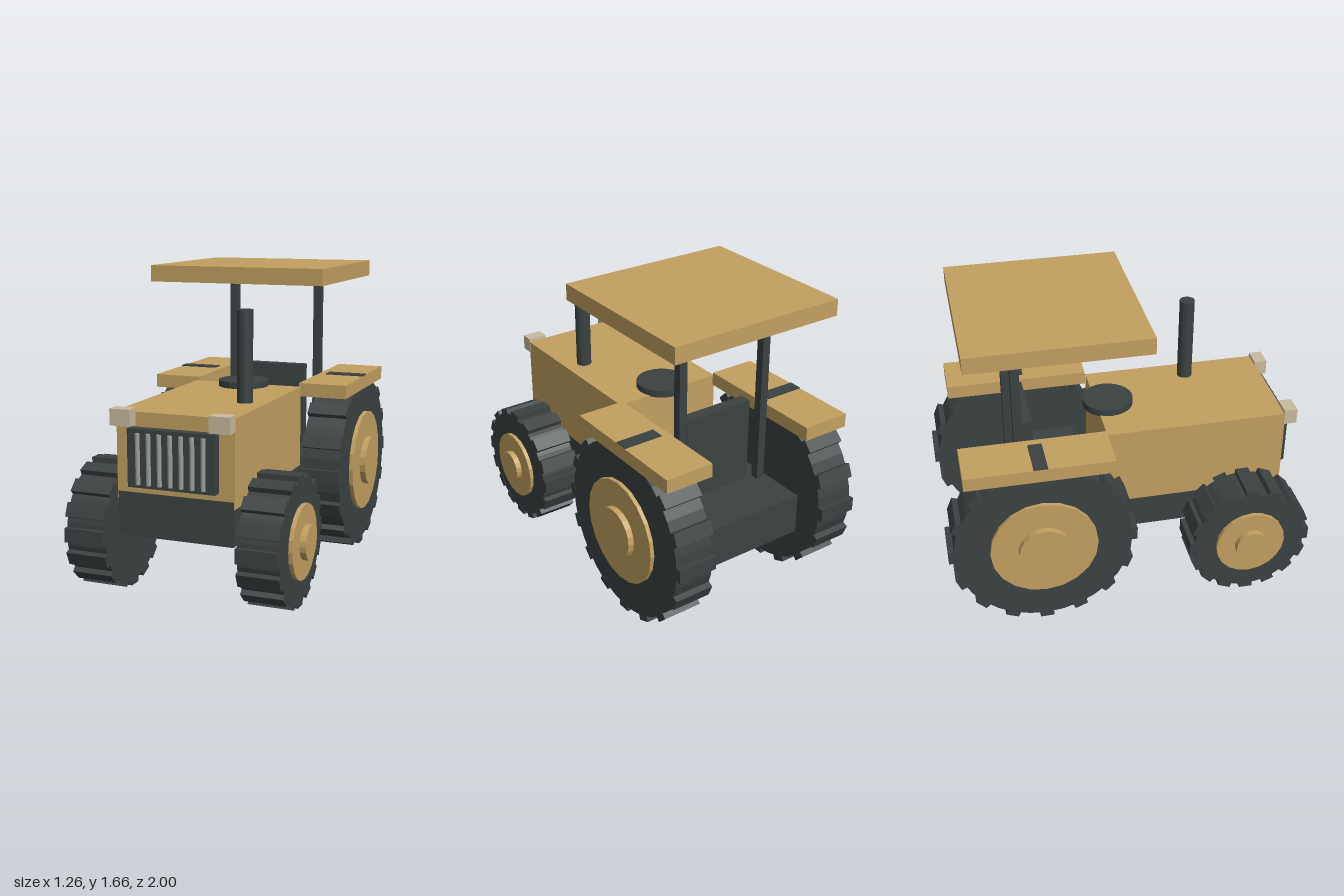
import * as THREE from 'three';

const material = (name, color) => {
  const m = new THREE.MeshStandardMaterial({ color });
  m.name = name;
  return m;
};

export function createModel() {
  const paint = material('ochre paint', 0xc2a060);
  const dark = material('dark rubber and iron', 0x3b4242);
  const lamp = material('pale lamp', 0xcabb9f);
  const steel = material('grey steel', 0x98a199);

  const tractor = new THREE.Group();
  tractor.name = 'tractor';

  const add = (parent, name, geometry, mat) => {
    const mesh = new THREE.Mesh(geometry, mat);
    mesh.name = name;
    parent.add(mesh);
    return mesh;
  };
  // Box given by its limits on each axis
  const box = (parent, name, mat, [x0, x1], [y0, y1], [z0, z1]) => {
    const mesh = add(parent, name, new THREE.BoxGeometry(x1 - x0, y1 - y0, z1 - z0), mat);
    mesh.position.set((x0 + x1) / 2, (y0 + y1) / 2, (z0 + z1) / 2);
    return mesh;
  };
  // Upright cylinder with faceted sides
  const rod = (parent, name, mat, r, y0, y1, x, z, sides) => {
    const geometry = new THREE.CylinderGeometry(r, r, y1 - y0, sides).toNonIndexed();
    geometry.computeVertexNormals();
    const mesh = add(parent, name, geometry, mat);
    mesh.position.set(x, (y0 + y1) / 2, z);
    return mesh;
  };

  // Body
  box(tractor, 'chassis', dark, [-0.312, 0.312], [0.35, 0.578], [-0.848, 0.903]);
  box(tractor, 'hood', paint, [-0.317, 0.317], [0.54, 0.99], [-0.095, 0.9]);
  rod(tractor, 'exhaust', dark, 0.042, 0.95, 1.47, 0.2, 0.465, 16);
  rod(tractor, 'steeringWheel', dark, 0.14, 0.985, 1.025, 0, -0.03, 24);

  // Seat
  box(tractor, 'seatCushion', dark, [-0.2, 0.2], [0.57, 0.72], [-0.5, -0.2]);
  box(tractor, 'seatBack', dark, [-0.205, 0.205], [0.57, 1.055], [-0.545, -0.48]);

  // Grille with upright bars
  box(tractor, 'grille', dark, [-0.235, 0.235], [0.617, 0.915], [0.89, 0.95]);
  for (let i = -3; i <= 3; i++) {
    rod(tractor, 'grilleBar', steel, 0.012, 0.635, 0.895, i * 0.0585, 0.956, 10);
  }

  // Canopy
  box(tractor, 'roof', paint, [-0.5, 0.5], [1.57, 1.66], [-0.84, 0.115]);

  // Wheel lying along x, outer side towards +x
  const wheel = (name, side, y, z, tireR, lugR, rimR, capR) => {
    const group = new THREE.Group();
    group.name = name;
    const disc = (part, mat, r, x0, x1, sides) => {
      const mesh = rod(group, part, mat, r, x0, x1, 0, 0, sides);
      mesh.rotation.z = -Math.PI / 2;
      mesh.position.set((x0 + x1) / 2, 0, 0);
    };
    disc('tire', dark, tireR, -0.11, 0.11, 32);
    disc('rim', paint, rimR, 0.08, 0.132, 20);
    disc('hubCap', paint, capR, 0.12, 0.165, 20);
    // Tread lugs
    for (let i = 0; i < 16; i++) {
      const a = (i / 16) * Math.PI * 2;
      const r = lugR - 0.022;
      const lug = add(group, 'lug', new THREE.BoxGeometry(0.222, 0.044, 0.075), dark);
      lug.position.set(0, r * Math.cos(a), r * Math.sin(a));
      lug.rotation.x = a;
    }
    group.position.set(side * 0.465, y, z);
    if (side < 0) group.rotation.y = Math.PI;
    tractor.add(group);
  };

  // Mirrored parts
  for (const side of [1, -1]) {
    const span = (a, b) => (side > 0 ? [a, b] : [-b, -a]);
    wheel('rearWheel', side, 0.508, -0.492, 0.48, 0.508, 0.29, 0.14);
    wheel('frontWheel', side, 0.342, 0.658, 0.317, 0.342, 0.195, 0.09);
    box(tractor, 'fender', paint, span(0.305, 0.577), [0.935, 1.01], [-0.89, -0.1]);
    box(tractor, 'roofPost', dark, span(0.242, 0.288), [0.57, 1.58], [-0.592, -0.545]);
    box(tractor, 'headlight', lamp, span(0.21, 0.32), [0.925, 1.01], [0.895, 0.967]);
  }
  return tractor;
}
